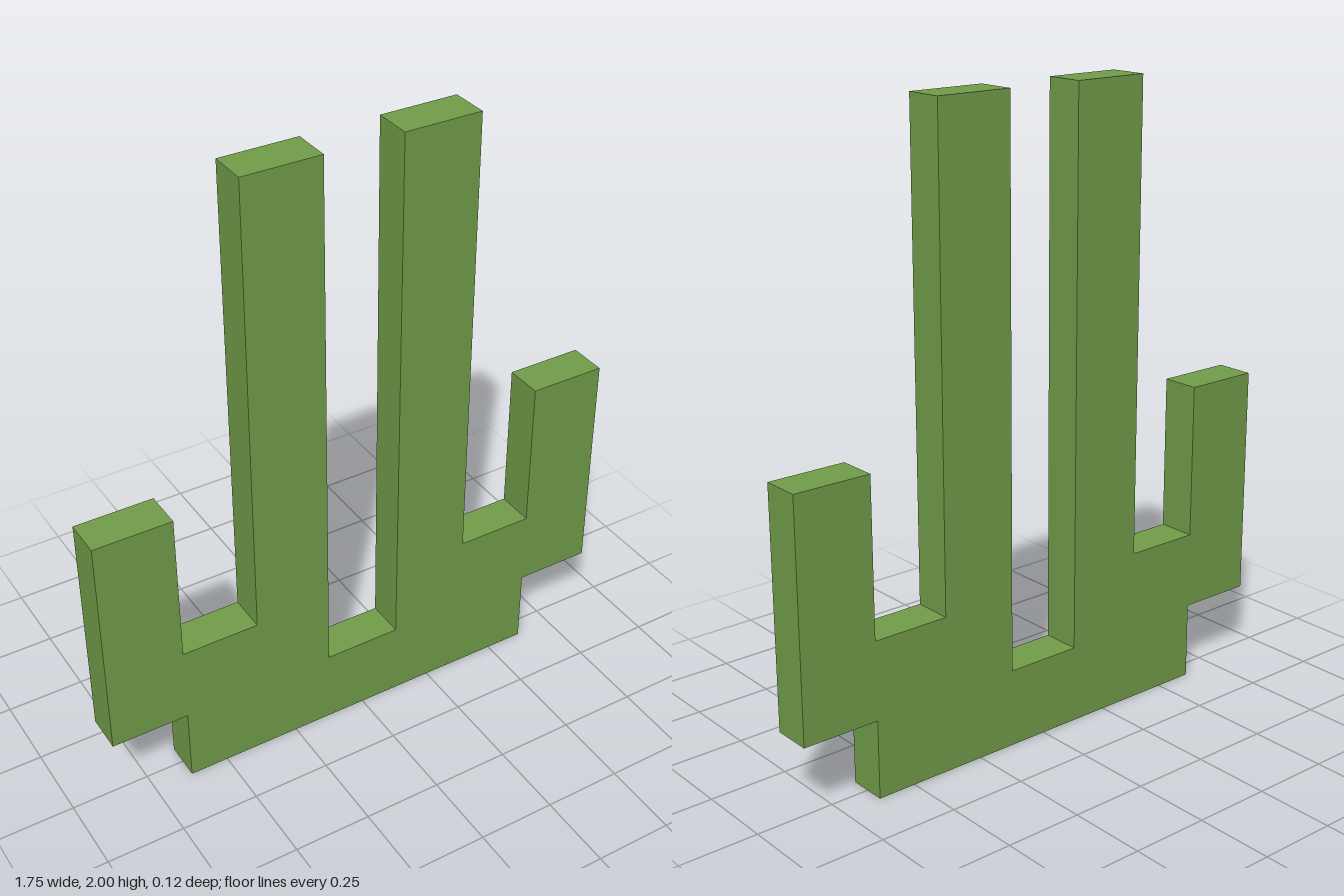
import * as THREE from 'three';

export function createModel() {
  const group = new THREE.Group();
  group.name = 'cactus';

  const green = new THREE.MeshStandardMaterial({ color: 0x739e4a });
  green.name = 'cactusGreen';

  const depth = 0.125;

  // Left half of the stepped outline, from the base centre up to the middle notch
  const half = [
    [0.625, 0], [0.625, 0.25], [0.875, 0.25], [0.875, 1], [0.625, 1],
    [0.625, 0.5], [0.375, 0.5], [0.375, 2], [0.125, 2], [0.125, 0.25],
  ];
  // Mirror it to close the outline
  const mirrored = half.map(([x, y]) => [-x, y]).reverse();
  const outline = [...half, ...mirrored].map(([x, y]) => new THREE.Vector2(x, y));

  // Flat slab with two tall stems and two side arms
  const geometry = new THREE.ExtrudeGeometry(new THREE.Shape(outline), {
    depth, bevelEnabled: false,
  });
  geometry.translate(0, 0, -depth / 2);

  const body = new THREE.Mesh(geometry, green);
  body.name = 'stemsAndArms';
  group.add(body);
  return group;
}
